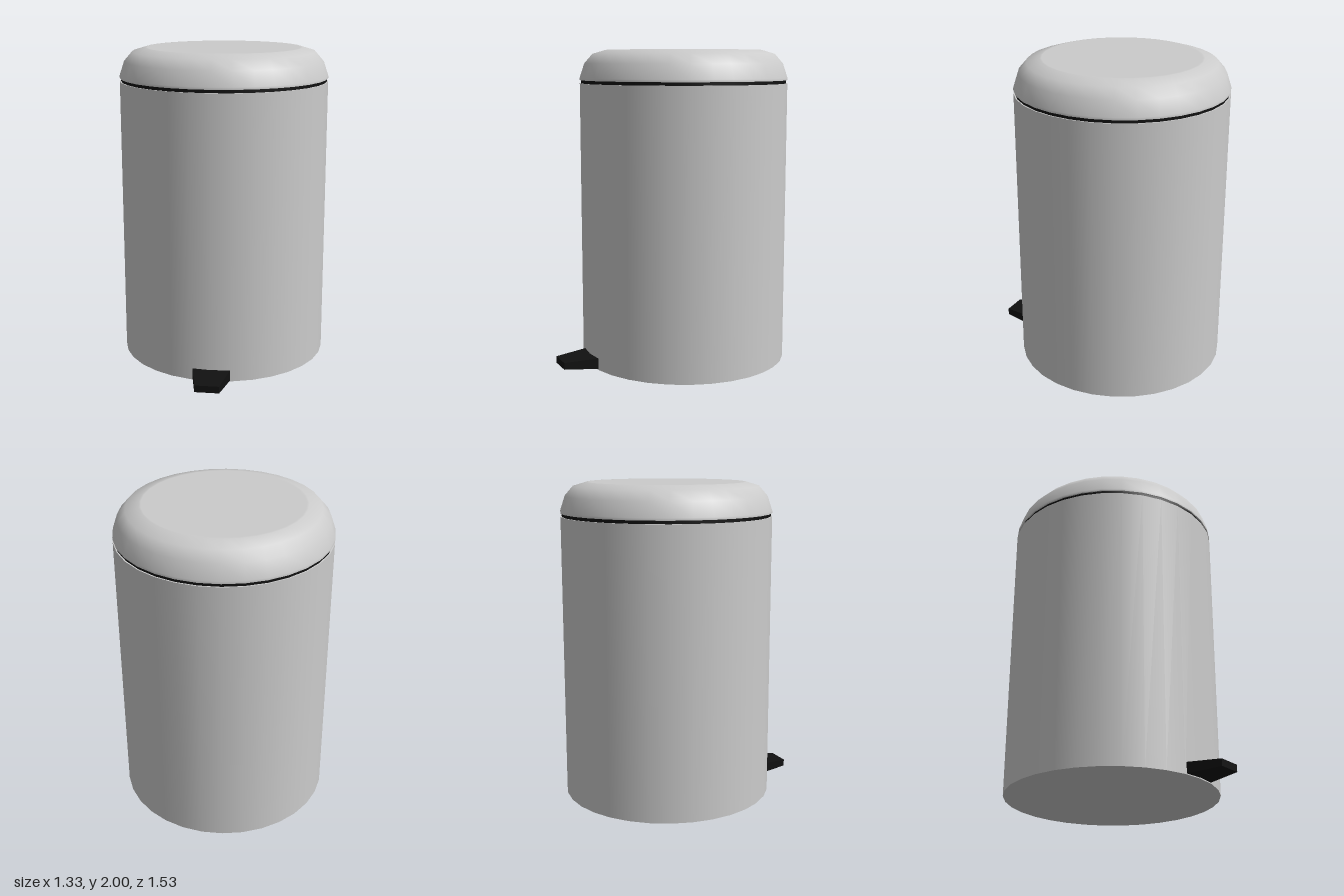
import * as THREE from 'three';

const SIDES = 32;
const CENTRE_Z = -0.1;

export function createModel() {
  const model = new THREE.Group();
  const metal = new THREE.MeshStandardMaterial({ color: 0xcccccc });
  const black = new THREE.MeshStandardMaterial({ color: 0x111111 });

  const add = (name, geometry, material, y = 0, z = CENTRE_Z) => {
    const mesh = new THREE.Mesh(geometry, material);
    mesh.name = name;
    mesh.position.set(0, y, z);
    model.add(mesh);
    return mesh;
  };
  const lathe = (points) =>
    new THREE.LatheGeometry(points.map(([r, y]) => new THREE.Vector2(r, y)), SIDES);

  // Straight drum with a closed base
  add('body', new THREE.CylinderGeometry(0.665, 0.665, 1.79, SIDES), metal, 0.895);

  // Dark seal showing as a thin gap under the lid
  add('seal', new THREE.CylinderGeometry(0.657, 0.657, 0.04, SIDES), black, 1.8);

  // Lid with a rounded shoulder, a flat top and a flat underside
  add('lid', lathe([
    [0.665, 1.81], [0.665, 1.825], [0.635, 1.915], [0.583, 1.975], [0.5, 2], [0.488, 2], [0, 2],
  ]), metal);
  const underside = add('lidUnderside', new THREE.CircleGeometry(0.665, SIDES), metal, 1.81);
  underside.rotation.x = Math.PI / 2;

  // Foot pedal, tapering towards its front end
  const pedal = new THREE.BoxGeometry(0.24, 0.07, 0.225);
  const p = pedal.attributes.position;
  for (let i = 0; i < p.count; i++) {
    if (p.getZ(i) > 0) {
      p.setX(i, p.getX(i) * 0.63);
      p.setY(i, p.getY(i) * 0.62);
    }
  }
  pedal.computeVertexNormals();
  add('pedal', pedal, black, 0.04, 0.6525);

  return model;
}
